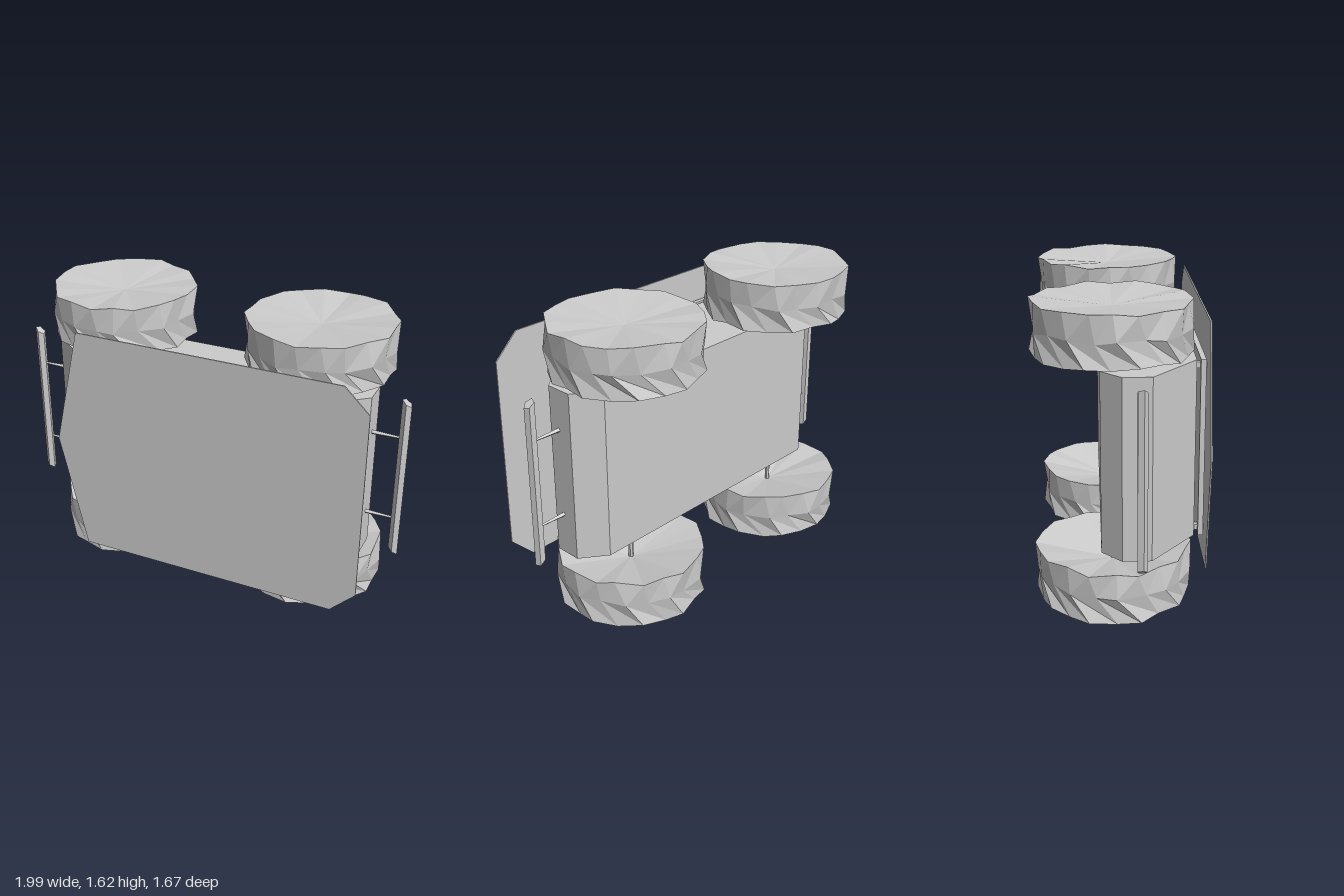
import * as THREE from 'three';

const grey = new THREE.MeshStandardMaterial({ color: 0xcccccc, flatShading: true, side: THREE.DoubleSide });

function add(parent, name, geometry, x = 0, y = 0, z = 0) {
  const mesh = new THREE.Mesh(geometry, grey);
  mesh.name = name;
  mesh.position.set(x, y, z);
  parent.add(mesh);
  return mesh;
}

// Outline in the x/z plane, extruded upward and centred on y = 0
function prism(points, height) {
  const shape = new THREE.Shape(points.map(([x, z]) => new THREE.Vector2(x, z)));
  const g = new THREE.ExtrudeGeometry(shape, { depth: height, bevelEnabled: false });
  return g.rotateX(Math.PI / 2).translate(0, height / 2, 0);
}

// Chunky low-poly tyre: rings from hub to hub, the middle one twisted for a chevron tread.
// The hub is sunk deeper on the inner side; outward is the y direction of the outer face.
function wheelGeometry(outward, seed) {
  const sides = 20, step = (Math.PI * 2) / sides;
  let s = seed * 7919;
  const rand = () => ((s = (s * 16807) % 2147483647) / 2147483647) - 0.5;
  const outerHub = 0.095, innerHub = 0.04;
  const rings = [
    { r: 0, y: outward > 0 ? -innerHub : -outerHub, twist: 0 },
    { r: 0.406, y: -0.134, twist: 0 },
    { r: 0.406, y: 0, twist: 0.8 },
    { r: 0.406, y: 0.134, twist: 0 },
    { r: 0, y: outward > 0 ? outerHub : innerHub, twist: 0 },
  ];
  const position = [], index = [];
  rings.forEach(({ r, y, twist }) => {
    for (let i = 0; i < sides; i++) {
      const a = (i + twist + (r ? rand() * 0.3 : 0)) * step;
      const lug = r ? r + (i % 2 ? 0.008 : -0.008) + rand() * 0.012 : 0;
      position.push(Math.cos(a) * lug, y + (r ? rand() * 0.02 : 0), Math.sin(a) * lug);
    }
  });
  for (let k = 0; k < rings.length - 1; k++) {
    for (let i = 0; i < sides; i++) {
      const l0 = k * sides + i, l1 = k * sides + (i + 1) % sides;
      const u0 = l0 + sides, u1 = l1 + sides;
      if (rings[k + 1].r) index.push(l0, u0, u1);
      if (rings[k].r) index.push(l0, u1, l1);
    }
  }
  const g = new THREE.BufferGeometry();
  g.setAttribute('position', new THREE.Float32BufferAttribute(position, 3));
  g.setIndex(index);
  g.computeVertexNormals();
  return g;
}

export function createModel() {
  const model = new THREE.Group();
  model.name = 'rover';

  // The vehicle rests on its side: x is its length, y its width, z its upward side
  const rover = new THREE.Group();
  rover.name = 'tippedRover';
  rover.rotation.y = -Math.PI / 6;
  model.add(rover);
  const midY = 0.815;

  // Hull with chamfered belly and sloping shoulders
  add(rover, 'hull', prism([
    [-0.83, -0.2], [0.802, -0.2], [0.945, -0.095], [0.945, 0.055],
    [0.66, 0.295], [-0.64, 0.295], [-0.94, 0.055], [-0.94, -0.095],
  ], 0.97), 0, midY, 0);

  // Deck panel on four short posts
  add(rover, 'deckPanel', new THREE.BoxGeometry(1.28, 0.97, 0.028), 0, midY, 0.33);
  for (const x of [-0.6, 0.6]) for (const y of [-0.45, 0.45]) {
    add(rover, 'deckPost', new THREE.BoxGeometry(0.03, 0.03, 0.07), x, midY + y, 0.315);
  }

  // Thin roof plate with clipped corners and one pointed end
  const roof = new THREE.Shape([
    [-0.795, 0.81], [-0.64, 0.13], [0.89, 0.13], [1.03, 0.27],
    [1.03, 1.36], [0.89, 1.495], [-0.635, 1.495],
  ].map(([x, y]) => new THREE.Vector2(x, y)));
  add(rover, 'roofPlate', new THREE.ExtrudeGeometry(roof, { depth: 0.008, bevelEnabled: false }), 0, 0, 0.36);

  // Wheels and the axles that reach into their hubs
  let seed = 11;
  for (const x of [-0.602, 0.59]) {
    for (const side of [-1, 1]) {
      add(rover, 'wheel', wheelGeometry(side, seed), x, midY + side * 0.665, -0.135);
      add(rover, 'axle', new THREE.CylinderGeometry(0.014, 0.014, 0.24, 6), x, midY + side * 0.51, -0.135);
      seed += 37;
    }
  }

  // Bumper bars with slanted ends, each on two tapered brackets
  for (const end of [-1, 1]) {
    const bar = new THREE.CylinderGeometry(0.028, 0.028, 0.92, 5);
    const p = bar.attributes.position;
    for (let i = 0; i < p.count; i++) p.setY(i, p.getY(i) - p.getX(i) * 0.7);
    bar.computeVertexNormals();
    add(rover, 'bumperBar', bar, end * 1.12, 0.82, -0.005);
    for (const y of [0.57, 1.07]) {
      const bracket = add(rover, 'bumperBracket', new THREE.CylinderGeometry(0.006, 0.014, 0.2, 4), end * 1.02, y, -0.005);
      bracket.rotation.z = -end * Math.PI / 2;
    }
  }

  return model;
}
